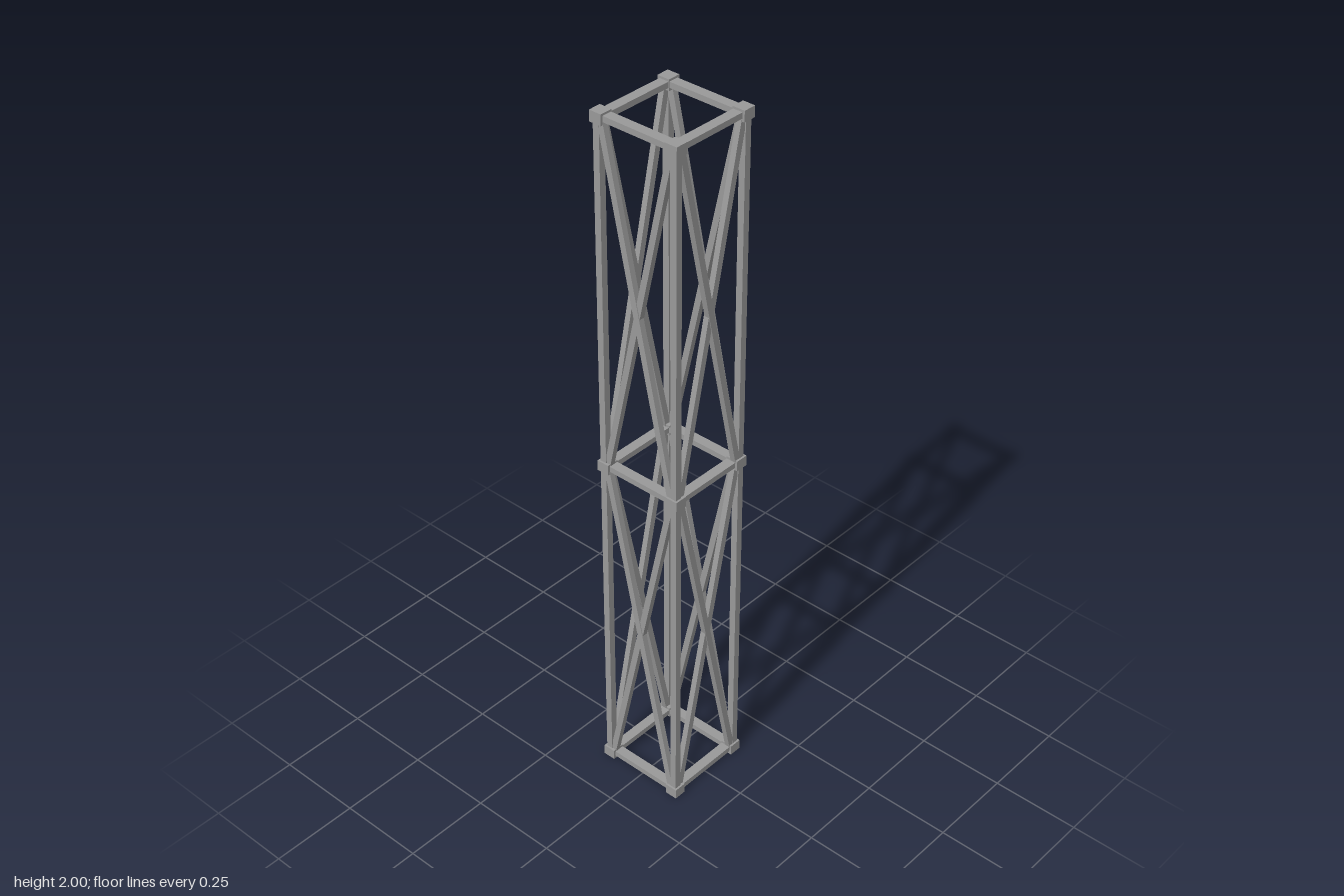
import * as THREE from 'three';

export function createModel() {
  const group = new THREE.Group();
  const material = new THREE.MeshStandardMaterial({ color: 0x999999, flatShading: true });
  const levels = [0.015, 1, 1.985];
  const r = 0.115;

  function box(parent, name, w, h, d, x, y, z) {
    const mesh = new THREE.Mesh(new THREE.BoxGeometry(w, h, d), material);
    mesh.name = name;
    mesh.position.set(x, y, z);
    parent.add(mesh);
    return mesh;
  }

  // Corner posts and the joint blocks on them
  for (const sx of [-1, 1]) {
    for (const sz of [-1, 1]) {
      box(group, 'cornerPost', 0.019, 1.97, 0.019, sx * 0.118, 1, sz * 0.118);
      for (const y of levels) box(group, 'jointBlock', 0.036, 0.03, 0.036, sx * r, y, sz * r);
    }
  }

  // Four identical sides: horizontal rails and crossed braces
  for (let i = 0; i < 4; i++) {
    const side = new THREE.Group();
    side.name = 'sideFrame';
    side.rotation.y = i * Math.PI / 2;
    for (const y of levels) box(side, 'rail', 2 * r, 0.016, 0.028, 0, y + 0.001, 0.1125);
    for (let k = 0; k < 2; k++) {
      const rise = levels[k + 1] - levels[k];
      const run = 0.216;
      for (const s of [-1, 1]) {
        const brace = box(side, 'diagonalBrace', 0.018, Math.hypot(rise, run), 0.016,
          0, (levels[k] + levels[k + 1]) / 2, 0.118 + s * 0.001);
        brace.rotation.z = s * Math.atan2(run, rise);
      }
    }
    group.add(side);
  }
  return group;
}
